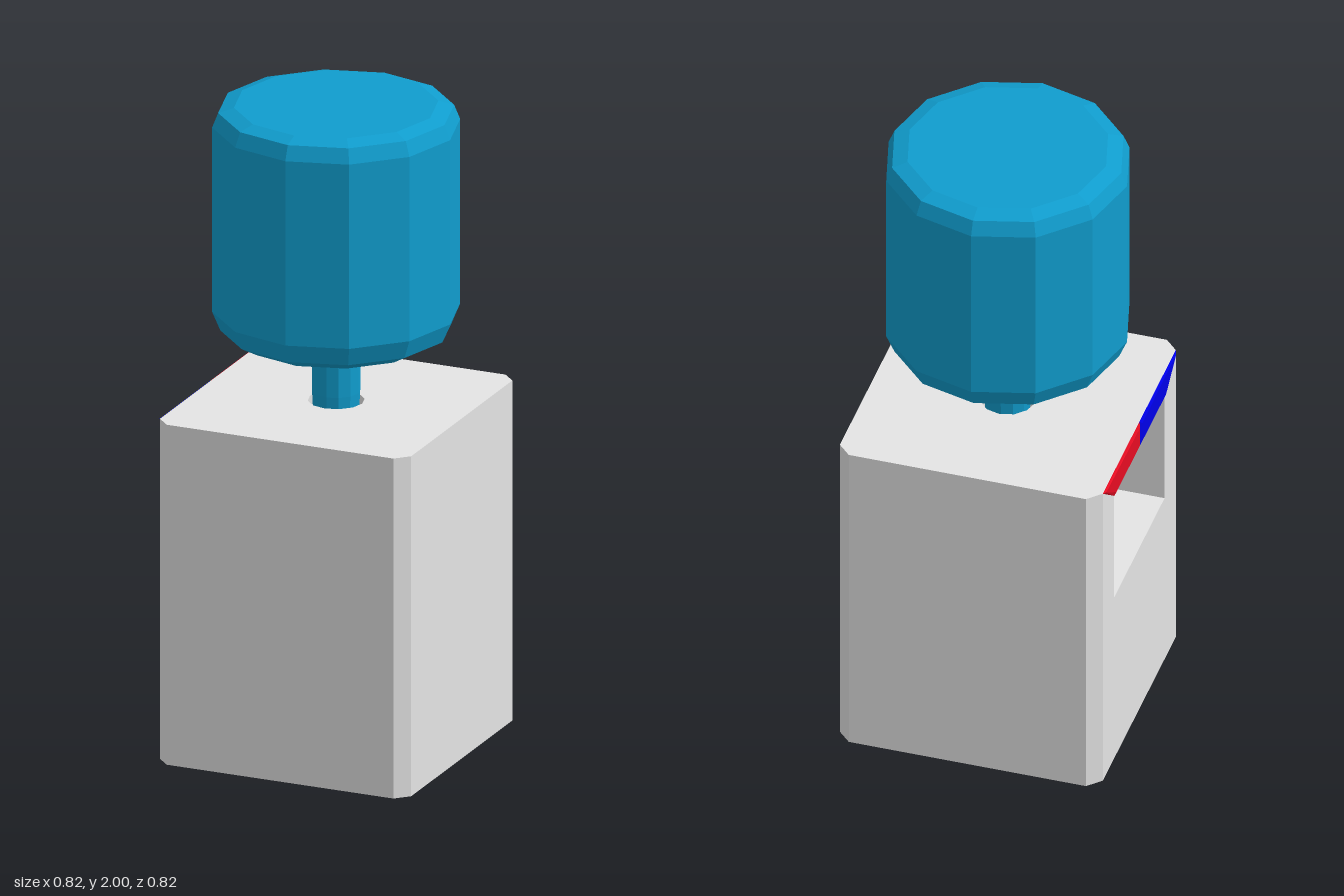
import * as THREE from 'three';

const mat = (name, color) => Object.assign(new THREE.MeshStandardMaterial({ color, flatShading: true }), { name });
const HALF = 0.408, CUT = 0.368;          // cabinet half width and start of corner chamfer
const NICHE_Z = 0.255, NICHE_X = -0.17;   // niche half width and back wall
const NICHE_LOW = 0.6, NICHE_TOP = 0.98, TOP = 1.07;

export function createModel() {
  const grey = mat('cabinet grey', 0xe4e4e4);
  const blue = mat('bottle blue', 0x109dce);
  const red = mat('hot red', 0xe60c22);
  const cold = mat('cold blue', 0x0000e8);
  const dark = mat('tap grey', 0x6c6c6c);

  const model = new THREE.Group();
  model.name = 'waterDispenser';
  const add = (name, geometry, material, parent = model) => {
    const mesh = new THREE.Mesh(geometry, material);
    mesh.name = name;
    parent.add(mesh);
    return mesh;
  };

  // Cabinet plan: chamfered square, optionally notched for the niche on the -x side
  const plan = (niche) => {
    const pts = [[-CUT, -HALF], [CUT, -HALF], [HALF, -CUT], [HALF, CUT],
      [CUT, HALF], [-CUT, HALF], [-HALF, CUT]];
    if (niche) pts.push([-HALF, NICHE_Z], [NICHE_X, NICHE_Z], [NICHE_X, -NICHE_Z], [-HALF, -NICHE_Z]);
    pts.push([-HALF, -CUT]);
    return new THREE.Shape(pts.map(([x, y]) => new THREE.Vector2(x, y)));
  };
  const slab = (shape, y0, y1) =>
    new THREE.ExtrudeGeometry(shape, { depth: y1 - y0, bevelEnabled: false, curveSegments: 6 })
      .rotateX(-Math.PI / 2).translate(0, y0, 0);

  // Cabinet: base, notched middle and top with a socket for the bottle neck
  const cabinet = new THREE.Group();
  cabinet.name = 'cabinet';
  model.add(cabinet);
  add('cabinetBase', slab(plan(false), 0, NICHE_LOW), grey, cabinet);
  add('cabinetNiche', slab(plan(true), NICHE_LOW, NICHE_TOP), grey, cabinet);
  const top = plan(false);
  top.holes.push(new THREE.Path().absarc(0, 0, 0.085, 0, Math.PI * 2, true));
  add('cabinetTop', slab(top, NICHE_TOP, TOP), grey, cabinet);

  // Bottle with neck, twelve sided, turned upside down
  const bottle = [[0, 0.99], [0.066, 0.99], [0.072, 1.1], [0.072, 1.23], [0.29, 1.27], [0.345, 1.3],
    [0.37, 1.36], [0.37, 1.94], [0.352, 1.985], [0.305, 2], [0, 2]];
  add('bottle', new THREE.LatheGeometry(bottle.map(([r, y]) => new THREE.Vector2(r, y)), 12), blue);

  // Per side: coloured temperature label and a tap hanging inside the niche
  const tapProfile = [[0, 0.78], [0.03, 0.785], [0.045, 0.82], [0.058, 0.87], [0.058, NICHE_TOP]];
  for (const [name, s, material] of [['hot', -1, red], ['cold', 1, cold]]) {
    const corners = [[0, NICHE_TOP], [s * NICHE_Z, NICHE_TOP], [s * CUT, TOP], [0, TOP]];
    if (s < 0) corners.reverse();
    const label = new THREE.ExtrudeGeometry(
      new THREE.Shape(corners.map(([z, y]) => new THREE.Vector2(z, y))),
      { depth: 0.001, bevelThickness: 0.005, bevelSize: 0.012, bevelOffset: -0.012, bevelSegments: 1 });
    add(name + 'Label', label.rotateY(-Math.PI / 2).translate(-HALF, 0, 0), material);

    const tap = new THREE.LatheGeometry(tapProfile.map(([r, y]) => new THREE.Vector2(r, y)), 8);
    add(name + 'Tap', tap.translate(-0.3, 0, s * 0.1), dark);
  }
  return model;
}
